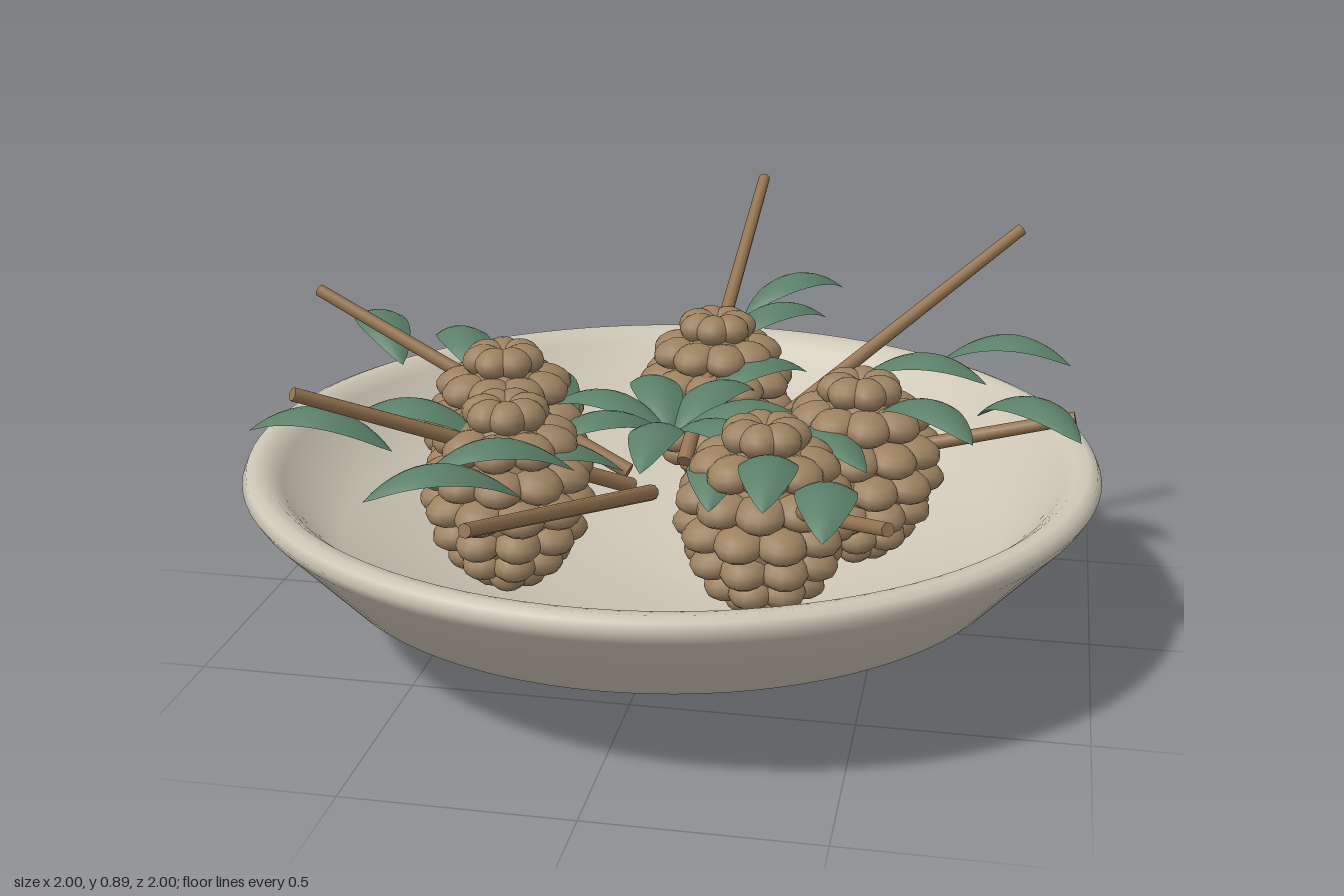
import * as THREE from 'three';
import { mergeGeometries } from 'three/addons/utils/BufferGeometryUtils.js';

const material = (name, color, side = THREE.FrontSide) => {
  const m = new THREE.MeshStandardMaterial({ color, side });
  m.name = name;
  return m;
};

// Pine cone: staggered rings of flattened scales around a core
function coneGeometry() {
  const rings = [ // y, ring radius, scale count, size
    [0.597, 0.05, 7, 0.85], [0.535, 0.108, 9, 1], [0.465, 0.137, 10, 1.05],
    [0.395, 0.14, 10, 1.05], [0.325, 0.12, 9, 1], [0.265, 0.085, 8, 0.95], [0.22, 0.035, 5, 0.85],
  ];
  const parts = [new THREE.SphereGeometry(1, 16, 12).scale(0.14, 0.2, 0.14).translate(0, 0.41, 0)];
  rings.forEach(([y, radius, count, size], row) => {
    for (let i = 0; i < count; i++) {
      const scale = new THREE.SphereGeometry(1, 12, 8);
      scale.scale(0.055 * size, 0.037, 0.06 * size);
      scale.rotateX(row ? 0.2 : 0.05);
      scale.translate(0, y, radius);
      scale.rotateY(((i + (row % 2) / 2) / count) * Math.PI * 2);
      parts.push(scale);
    }
  });
  return mergeGeometries(parts);
}

// Leaf: a pointed blade running along -z, arched lengthwise and drooping at its edges
function leafGeometry(length, width, lift) {
  const g = new THREE.PlaneGeometry(1, 1, 6, 14);
  const p = g.attributes.position;
  for (let i = 0; i < p.count; i++) {
    const across = p.getX(i) * 2;
    const s = p.getY(i) + 0.5;
    const half = (width / 2) * Math.pow(Math.sin(Math.PI * s), 0.8);
    const y = lift * (3.67 * s - 3.33 * s * s) - 0.35 * half * across * across;
    p.setXYZ(i, half * across, y, -s * length);
  }
  g.computeVertexNormals();
  return g;
}

export function createModel() {
  const group = new THREE.Group();
  const stone = material('warm grey ceramic', 0xcdc6b6);
  const brown = material('pine cone brown', 0x9c8160);
  const bark = material('twig brown', 0x94734f);
  const green = material('leaf green', 0x5a7f68, THREE.DoubleSide);

  const add = (name, geometry, mat, parent = group) => {
    const mesh = new THREE.Mesh(geometry, mat);
    mesh.name = name;
    parent.add(mesh);
    return mesh;
  };

  // Bowl: outside, rim, then inside
  const profile = [
    [0, 0], [0.34, 0], [0.81, 0.19], [0.985, 0.385], [1, 0.41], [0.99, 0.432], [0.97, 0.44],
    [0.94, 0.435], [0.91, 0.41], [0.78, 0.26], [0.32, 0.1], [0, 0.09],
  ].map(([x, y]) => new THREE.Vector2(x, y));
  add('bowl', new THREE.LatheGeometry(profile, 96), stone);

  // Five pine cones
  const cone = coneGeometry();
  [[0.03, -0.45], [0.44, -0.01], [0.27, 0.34], [-0.32, 0.3], [-0.43, -0.08]].forEach(([x, z], i) => {
    const mesh = add('pineCone', cone, brown);
    mesh.position.set(x, 0, z);
    mesh.rotation.y = i * 1.3;
  });

  const placeLeaf = (geometry, x, y, z, angle, parent, name) => {
    const leaf = add(name, geometry, green, parent);
    leaf.position.set(x, y, z);
    leaf.rotation.y = Math.atan2(-Math.cos(angle), -Math.sin(angle));
  };

  // Sprays: a rising twig; three leaves turn off to one side
  const sprayLeaf = leafGeometry(0.325, 0.125, 0.09);
  const sprays = [ // twig tip, then leaf direction offset
    [0.08, 0.88, -0.92, 0.75], [0.78, 0.87, -0.5, 0.75], [0.93, 0.56, 0, 0.78],
    [0.57, 0.56, 0.74, 0.58], [-0.24, 0.56, 0.9, 0.8], [-0.69, 0.72, 0.62, 0.7], [-0.92, 0.72, -0.16, 0.78],
  ];
  const up = new THREE.Vector3(0, 1, 0);
  sprays.forEach(([x, y, z, turn], i) => {
    const spray = new THREE.Group();
    spray.name = 'spray';
    group.add(spray);
    const reach = Math.hypot(x, z);
    const tip = new THREE.Vector3(x, y, z);
    const root = new THREE.Vector3((x / reach) * 0.11, 0.35, (z / reach) * 0.11);
    const dir = tip.clone().sub(root);
    const twig = add('twig', new THREE.CylinderGeometry(0.015, 0.019, dir.length(), 10), bark, spray);
    twig.position.copy(root).add(tip).multiplyScalar(0.5);
    twig.quaternion.setFromUnitVectors(up, dir.normalize());
    const angle = Math.atan2(z, x);
    [[0.25, 0.45], [0.48, 0.53], [0.71, 0.55]].forEach(([r, h]) => {
      placeLeaf(sprayLeaf, Math.cos(angle) * r, h, Math.sin(angle) * r, angle + turn, spray, 'leaf');
    });
  });

  // Central rosette
  const rosetteLeaf = leafGeometry(0.33, 0.12, 0.09);
  const rosette = new THREE.Group();
  rosette.name = 'rosette';
  group.add(rosette);
  for (let i = 0; i < 7; i++) {
    placeLeaf(rosetteLeaf, 0, 0.45, 0, 1.6 + (i / 7) * Math.PI * 2, rosette, 'rosetteLeaf');
  }
  return group;
}
